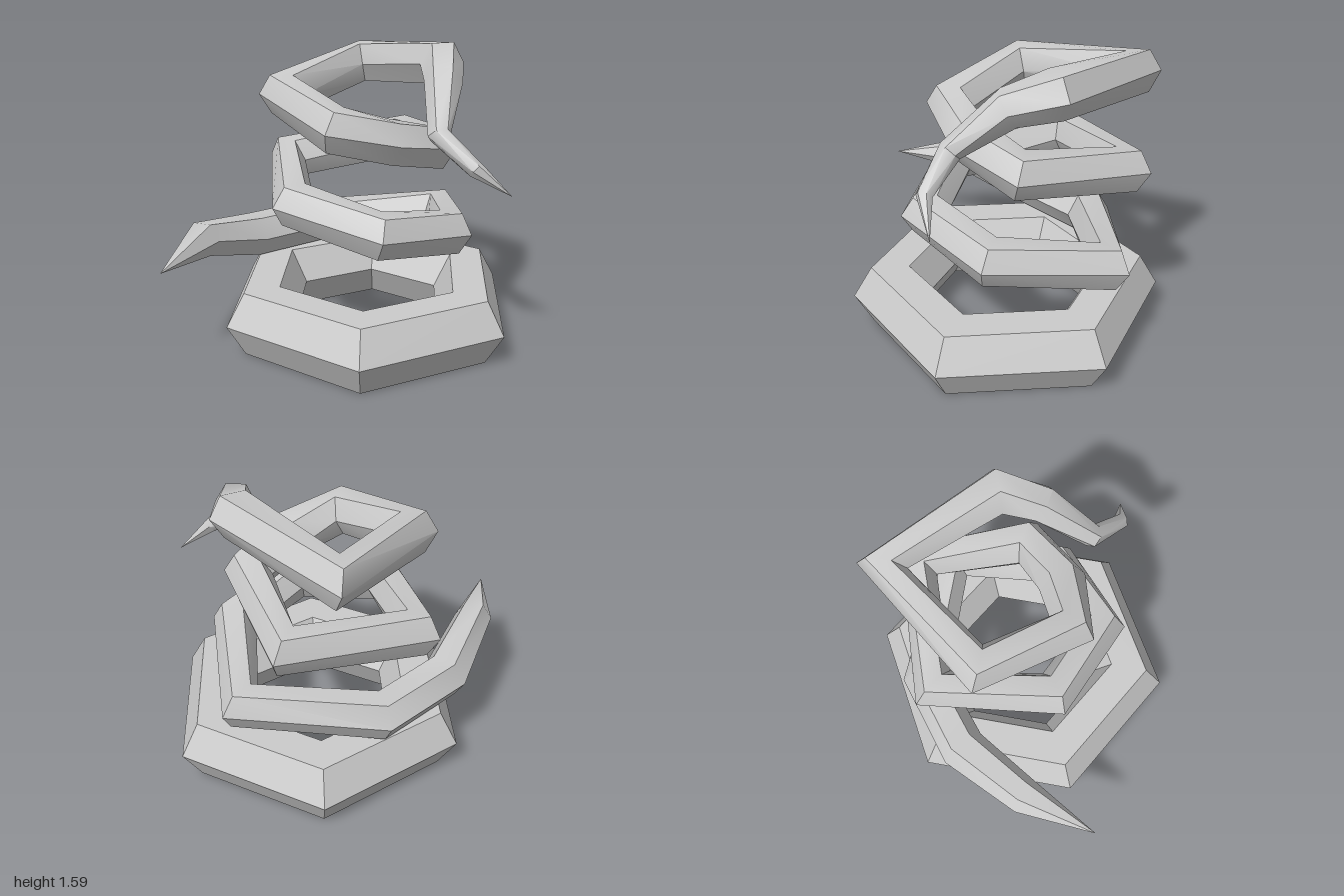
import * as THREE from 'three';
import { toCreasedNormals } from 'three/addons/utils/BufferGeometryUtils.js';

const SIDES = 6;

// Outer-edge points of the coil with section radius: [x, y, z, r], tail to head
const coilPath = [
  [-1.0, 0.545, 0, 0.001],
  [-0.76, 0.575, -0.36, 0.1],
  [-0.36, 0.47, -0.625, 0.125],
  [0.17, 0.47, -0.7, 0.125],
  [0.86, 0.555, -0.24, 0.125],
  [0.55, 0.64, 0.43, 0.125],
  [-0.03, 0.72, 0.53, 0.125],
  [-0.41, 0.81, 0.04, 0.125],
  [-0.13, 0.89, -0.67, 0.125],
  [0.7, 0.975, -0.49, 0.125],
  [0.56, 1.055, 0.23, 0.125],
  [0.17, 1.14, 0.35, 0.125],
  [-0.21, 1.22, 0.25, 0.125],
  [-0.3, 1.31, -0.4, 0.125],
  [0.48, 1.4, -0.72, 0.125],
  [0.7, 1.48, 0.05, 0.125],
  [0.55, 1.425, 0.285, 0.1],
  [0.38, 1.21, 0.455, 0.06],
  [0.445, 1.075, 0.62, 0.042],
  [0.575, 0.94, 0.72, 0.001],
];

// Hexagonal tube whose outer ridge follows the path, with a radius per ring
function ridgeTube(path) {
  const pts = path.map(([x, y, z]) => new THREE.Vector3(x, y, z));
  const last = pts.length - 1;
  const verts = [];
  const index = [];
  pts.forEach((p, i) => {
    const r = path[i][3];
    const t = new THREE.Vector3();
    if (i > 0) t.add(p.clone().sub(pts[i - 1]).normalize());
    if (i < last) t.add(pts[i + 1].clone().sub(p).normalize());
    t.normalize();
    const out = new THREE.Vector3(t.z, 0, -t.x).normalize();
    const up = t.clone().cross(out).normalize();
    const center = p.clone().addScaledVector(out, -r);
    for (let j = 0; j < SIDES; j++) {
      const a = (j / SIDES) * Math.PI * 2;
      const v = center.clone()
        .addScaledVector(out, r * Math.cos(a))
        .addScaledVector(up, r * Math.sin(a));
      verts.push(v.x, v.y, v.z);
      if (i < last) {
        const k = (j + 1) % SIDES;
        const [a0, b0] = [i * SIDES + j, i * SIDES + k];
        index.push(a0, b0, b0 + SIDES, a0, b0 + SIDES, a0 + SIDES);
      }
    }
  });
  const geo = new THREE.BufferGeometry();
  geo.setAttribute('position', new THREE.Float32BufferAttribute(verts, 3));
  geo.setIndex(index);
  return toCreasedNormals(geo, 0.6);
}

export function createModel() {
  const group = new THREE.Group();
  group.name = 'coiledRing';

  // Six-sided base ring with hexagonal section
  const base = new THREE.Mesh(
    new THREE.TorusGeometry(0.63, 0.203, SIDES, 6).rotateX(Math.PI / 2),
    new THREE.MeshStandardMaterial({ color: 0xcccccc, flatShading: true })
  );
  base.name = 'baseRing';
  base.position.set(0.165, 0.176, 0);
  group.add(base);

  // Rising coil, tapered at tail and head
  const coil = new THREE.Mesh(
    ridgeTube(coilPath),
    new THREE.MeshStandardMaterial({ color: 0xcccccc })
  );
  coil.name = 'coil';
  group.add(coil);

  return group;
}
